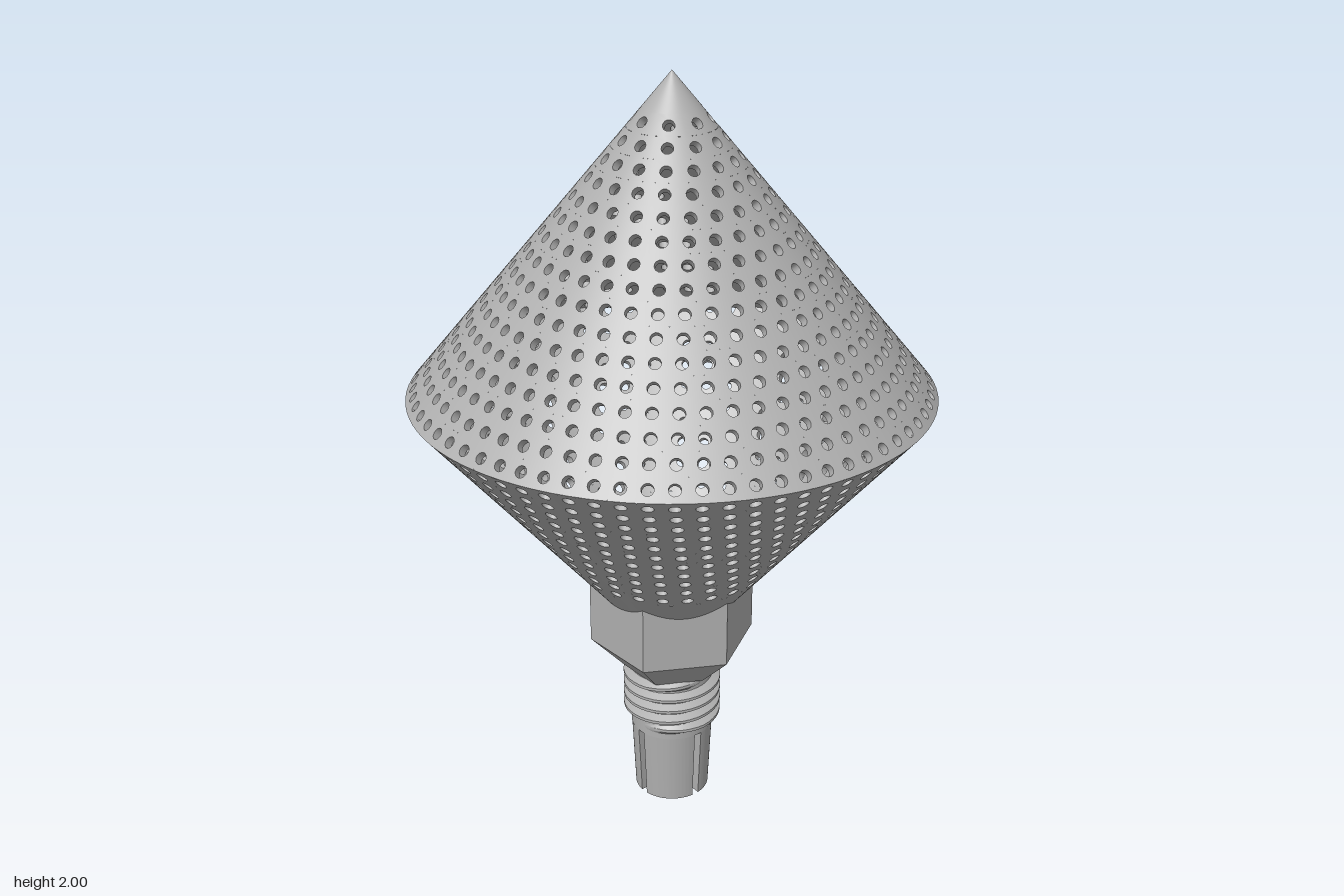
import * as THREE from 'three';
import { toCreasedNormals } from 'three/addons/utils/BufferGeometryUtils.js';

const RIM_R = 0.67, RIM_Y = 1.2, CONE_H = 0.8, WALL = 0.02, HOLE_R = 0.0148;
const SLANT = Math.hypot(RIM_R, CONE_H), SIN = RIM_R / SLANT, COS = CONE_H / SLANT;

// Collects triangles and turns each one to agree with its normals
function makeBuilder() {
  const pos = [], nor = [];
  const ab = new THREE.Vector3(), ac = new THREE.Vector3();
  const tri = (a, b, c) => {
    ab.subVectors(b.p, a.p).cross(ac.subVectors(c.p, a.p));
    const order = ab.dot(a.n) + ab.dot(b.n) + ab.dot(c.n) < 0 ? [a, c, b] : [a, b, c];
    for (const v of order) {
      pos.push(v.p.x, v.p.y, v.p.z);
      nor.push(v.n.x, v.n.y, v.n.z);
    }
  };
  const quad = (a, b, c, d) => { tri(a, b, c); tri(a, c, d); };
  const build = () => {
    const g = new THREE.BufferGeometry();
    g.setAttribute('position', new THREE.Float32BufferAttribute(pos, 3));
    g.setAttribute('normal', new THREE.Float32BufferAttribute(nor, 3));
    return g;
  };
  return { quad, build };
}

// Hollow cone wall with rings of drilled holes; side is 1 for up, -1 for down
function perforatedCone(side, firstRow, endR) {
  const b = makeBuilder();
  const rowR = m => 0.092 + 0.0372 * (m - 2);
  // Point at radius r (on the outside), angle t, sunk by depth d
  const at = (r, t, d, inward) => {
    const rr = Math.max(0, r - d * COS), s = Math.sin(t), c = Math.cos(t);
    const y = RIM_Y + side * (CONE_H - (r / SIN) * COS - d * SIN);
    const n = new THREE.Vector3(s * COS, side * SIN, c * COS);
    return { p: new THREE.Vector3(rr * s, y, rr * c), n: inward ? n.negate() : n };
  };
  const plainBand = (r0, r1) => {
    const N = 96;
    for (const d of [0, WALL]) for (let j = 0; j < N; j++) {
      const t0 = j / N * Math.PI * 2, t1 = (j + 1) / N * Math.PI * 2;
      b.quad(at(r0, t0, d, d > 0), at(r0, t1, d, d > 0), at(r1, t1, d, d > 0), at(r1, t0, d, d > 0));
    }
  };
  const SEG = 12, LAST = 17, half = 0.0186;
  for (let m = firstRow; m <= LAST; m++) {
    const r = rowR(m), N = 4 * m;
    for (let j = 0; j < N; j++) {
      const tc = Math.PI / 4 + j / N * Math.PI * 2;
      const edge = (i, d) => {
        const a = Math.PI / 4 + i / SEG * Math.PI * 2;
        const c = Math.cos(a), s = Math.sin(a), k = Math.max(Math.abs(c), Math.abs(s));
        return at(r + half * s / k, tc + Math.PI / N * c / k, d, d > 0);
      };
      const hole = (i, d) => {
        const a = Math.PI / 4 + i / SEG * Math.PI * 2;
        return at(r + HOLE_R * SIN * Math.sin(a), tc + HOLE_R / r * Math.cos(a), d, d > 0);
      };
      const bore = (i, d) => {
        const h = hole(i, d);
        return { p: h.p, n: at(r, tc, d).p.sub(h.p).normalize() };
      };
      for (let i = 0; i < SEG; i++) {
        for (const d of [0, WALL]) b.quad(edge(i, d), edge(i + 1, d), hole(i + 1, d), hole(i, d));
        b.quad(bore(i, 0), bore(i + 1, 0), bore(i + 1, WALL), bore(i, WALL));
      }
    }
  }
  plainBand(endR, rowR(firstRow) - half);
  plainBand(rowR(LAST) + half, RIM_R);
  return b.build();
}

// Helical ridge with a trapezoid section, fading out at both ends
function threadRidge(y0, y1, pitch, core, crest) {
  const b = [], perTurn = 40, steps = Math.round((y1 - y0) / pitch * perTurn);
  const section = i => {
    const t = i / perTurn * Math.PI * 2, y = y0 + (y1 - y0) * i / steps;
    const fade = Math.min(1, i / 10, (steps - i) / 10);
    const top = core + (crest - core) * fade;
    return [[core, -0.46], [top, -0.12], [top, 0.12], [core, 0.46]]
      .map(([r, k]) => [r * Math.sin(t), y + k * pitch, r * Math.cos(t)]);
  };
  for (let i = 0; i < steps; i++) {
    const p = section(i), q = section(i + 1);
    for (let k = 0; k < 3; k++) {
      b.push(...p[k], ...q[k], ...q[k + 1], ...p[k], ...q[k + 1], ...p[k + 1]);
    }
  }
  const g = new THREE.BufferGeometry();
  g.setAttribute('position', new THREE.Float32BufferAttribute(b, 3));
  return toCreasedNormals(g, 0.4);
}

// One quarter of the slotted collet, slightly wider at the top
function colletJaw(height) {
  const ro = 0.111, ri = 0.072, w = 0.011;
  const ao = Math.asin(w / ro), ai = Math.asin(w / ri), q = Math.PI / 2;
  const shape = new THREE.Shape();
  shape.absarc(0, 0, ro, ao, q - ao, false);
  shape.absarc(0, 0, ri, q - ai, ai, true);
  const g = new THREE.ExtrudeGeometry(shape, { depth: height, bevelEnabled: false, curveSegments: 14 });
  g.rotateX(-Math.PI / 2);
  const p = g.attributes.position;
  for (let i = 0; i < p.count; i++) {
    const x = p.getX(i), z = p.getZ(i), r = Math.hypot(x, z);
    const k = r > 0.09 ? 1 - 0.09 * (1 - p.getY(i) / height) : 1;
    p.setXYZ(i, x * k, p.getY(i), z * k);
  }
  return toCreasedNormals(g, 0.5);
}

export function createModel() {
  const group = new THREE.Group();
  const metal = new THREE.MeshStandardMaterial({ color: 0xb0b0b0 });
  metal.name = 'grey metal';
  const add = (name, geometry, y = 0, parent = group) => {
    const mesh = new THREE.Mesh(geometry, metal);
    mesh.name = name;
    mesh.position.y = y;
    parent.add(mesh);
    return mesh;
  };

  // Perforated double cone
  add('upperPerforatedCone', perforatedCone(1, 2, 0));
  add('lowerPerforatedCone', perforatedCone(-1, 7, 0.18));

  // Hexagonal nut with corners on the x axis, tapering below
  const hex = (rTop, rBottom, h) =>
    toCreasedNormals(new THREE.CylinderGeometry(rTop, rBottom, h, 6).rotateY(Math.PI / 6), 0.3);
  add('hexNut', hex(0.222, 0.222, 0.185), 0.5725);
  add('hexTaper', hex(0.222, 0.128, 0.095), 0.4325);

  // Threaded neck
  add('neckCore', toCreasedNormals(new THREE.CylinderGeometry(0.112, 0.112, 0.195, 48), 0.5), 0.3025);
  add('thread', threadRidge(0.232, 0.378, 0.034, 0.11, 0.133));

  // Collet of four jaws separated by slots
  const collet = new THREE.Group();
  collet.name = 'collet';
  group.add(collet);
  const jaw = colletJaw(0.21);
  for (let i = 0; i < 4; i++) add('colletJaw', jaw, 0, collet).rotation.y = i * Math.PI / 2;

  return group;
}
